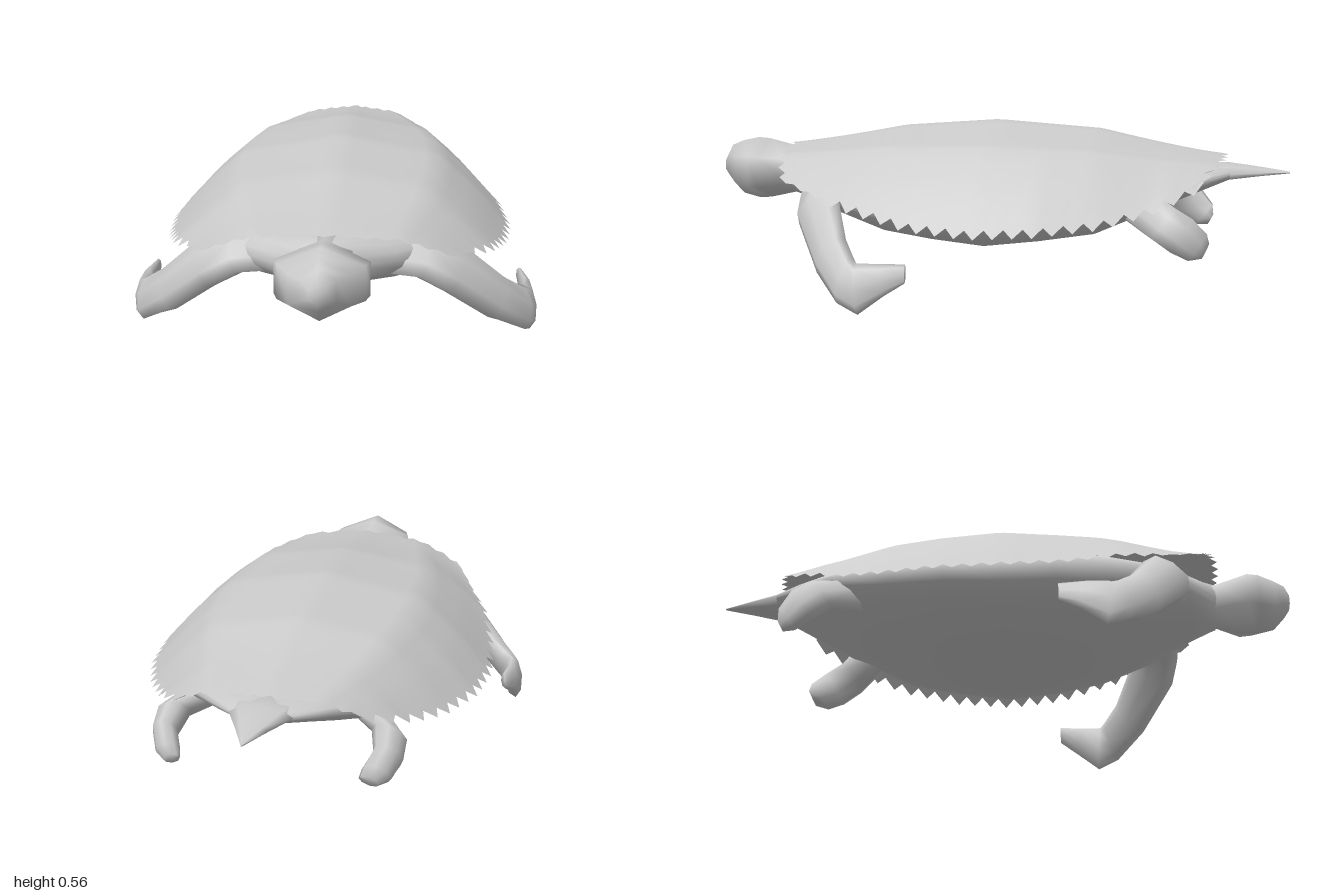
import * as THREE from 'three';

const material = new THREE.MeshStandardMaterial({ color: 0xcccccc });
const shellMaterial = new THREE.MeshStandardMaterial({ color: 0xcccccc, side: THREE.DoubleSide });
const V = (x, y, z) => new THREE.Vector3(x, y, z);

// Piecewise linear lookup in [key, value] pairs with rising keys
function lookup(table, k) {
  for (let i = 1; i < table.length; i++) {
    const [k0, v0] = table[i - 1], [k1, v1] = table[i];
    if (k <= k1) return v0 + (v1 - v0) * Math.max(0, (k - k0) / (k1 - k0));
  }
  return table[table.length - 1][1];
}

// Closed ring spanned by two half axes
function ring(c, u, v, n, start = 0) {
  return Array.from({ length: n }, (_, i) => {
    const a = start + (i / n) * Math.PI * 2;
    return c.clone().addScaledVector(u, Math.cos(a)).addScaledVector(v, Math.sin(a));
  });
}

// Smooth skin over rings, capped at both ends and always facing outward
function loft(rings) {
  const n = rings[0].length, pts = rings.flat(), idx = [];
  for (let i = 0; i < rings.length - 1; i++) {
    for (let j = 0; j < n; j++) {
      const a = i * n + j, b = i * n + (j + 1) % n;
      idx.push(a, b, b + n, a, b + n, a + n);
    }
  }
  [rings[0], rings[rings.length - 1]].forEach((r, end) => {
    const base = end ? (rings.length - 1) * n : 0, c = pts.length;
    pts.push(r.reduce((s, p) => s.add(p), V(0, 0, 0)).divideScalar(n));
    for (let j = 0; j < n; j++) {
      const a = base + j, b = base + (j + 1) % n;
      idx.push(...(end ? [c, a, b] : [c, b, a]));
    }
  });
  let volume = 0;
  for (let i = 0; i < idx.length; i += 3) {
    volume += pts[idx[i]].dot(pts[idx[i + 1]].clone().cross(pts[idx[i + 2]]));
  }
  if (volume < 0) idx.reverse();
  return finish(pts, idx);
}

function finish(pts, idx) {
  const g = new THREE.BufferGeometry().setFromPoints(pts);
  g.setIndex(idx);
  g.computeVertexNormals();
  return g;
}

// Stations [z, half width, bottom, top] along the body axis
function axial(stations, n, start) {
  return loft(stations.map(([z, w, y0, y1]) =>
    ring(V(0, (y0 + y1) / 2, z), V(w, 0, 0), V(0, (y1 - y0) / 2, 0), n, start)));
}

// Domed open shell with a saw-toothed rim
function carapace() {
  const ridge = [[-0.75, 0.45], [-0.36, 0.54], [0, 0.565], [0.33, 0.54], [0.7, 0.465]];
  const rim = [[-0.72, 0.385], [-0.55, 0.315], [-0.4, 0.28], [-0.2, 0.262], [0, 0.255],
    [0.2, 0.27], [0.4, 0.315], [0.55, 0.35], [0.68, 0.39]];
  const width = [[-0.72, 0.28], [-0.6, 0.38], [-0.4, 0.49], [-0.2, 0.56], [0, 0.585],
    [0.2, 0.565], [0.4, 0.515], [0.6, 0.415], [0.68, 0.37]];
  const drop = [[0, 0], [0.58, 0.2], [0.8, 0.57], [1, 1]];
  const rows = 46, cols = 24, pts = [], idx = [];
  for (let i = 0; i <= rows; i++) {
    const z0 = -0.72 + 1.4 * i / rows, t = i / rows * 2 - 1;
    const tooth = (i % 2 ? 1 : -1) * (z0 > 0.5 ? 0.004 : 0.013);
    for (let j = 0; j <= cols; j++) {
      const f = j / cols * 2 - 1, a = Math.abs(f), edge = j === 0 || j === cols;
      const w = lookup(width, z0) + (edge ? tooth : 0);
      const bulge = Math.sign(t) * Math.abs(t) ** 6 * 0.075 * (1 - f * f);
      const nick = (i === 0 || i === rows) && j % 2 ? -Math.sign(t) * 0.022 : 0;
      const top = lookup(ridge, z0), low = lookup(rim, z0);
      const y = top - (top - low) * lookup(drop, a) - (edge ? tooth : 0);
      pts.push(V(f * w, y, z0 + bulge + nick));
      if (i < rows && j < cols) {
        const p = i * (cols + 1) + j, q = p + cols + 1;
        idx.push(p, q, q + 1, p, q + 1, p + 1);
      }
    }
  }
  return finish(pts, idx);
}

// Limb stations [centre, wide half axis, thin half axis], mirrored by side
function limb(stations, side) {
  return loft(stations.map((s) => {
    const [c, u, v] = s.map(([x, y, z]) => V(x * side, y, z));
    return ring(c, u, v, 8);
  }));
}

export function createModel() {
  const group = new THREE.Group();
  const add = (name, geometry, mat = material) => {
    const mesh = new THREE.Mesh(geometry, mat);
    mesh.name = name;
    group.add(mesh);
  };

  add('carapace', carapace(), shellMaterial);

  // Rounded underside tapering to the neck and the tail root
  add('body', axial([
    [-0.8, 0.1, 0.375, 0.425], [-0.7, 0.2, 0.335, 0.43], [-0.58, 0.31, 0.285, 0.43],
    [-0.36, 0.44, 0.19, 0.44], [-0.18, 0.49, 0.162, 0.45], [0, 0.51, 0.14, 0.45],
    [0.18, 0.49, 0.158, 0.45], [0.35, 0.44, 0.18, 0.45], [0.52, 0.35, 0.235, 0.44],
    [0.64, 0.22, 0.272, 0.44], [0.74, 0.08, 0.29, 0.45],
  ], 20, Math.PI / 2));

  // Faceted head running back into the neck
  add('head', axial([
    [0.6, 0.11, 0.28, 0.45], [0.74, 0.095, 0.29, 0.458], [0.84, 0.165, 0.268, 0.482],
    [0.88, 0.15, 0.265, 0.485], [0.94, 0.105, 0.28, 0.472], [0.98, 0.06, 0.325, 0.455],
    [1, 0.03, 0.355, 0.415],
  ], 6, Math.PI / 2));

  add('tail', axial([
    [-1, 0.003, 0.397, 0.403], [-0.9, 0.05, 0.385, 0.418],
    [-0.8, 0.1, 0.372, 0.43], [-0.7, 0.13, 0.36, 0.43],
  ], 8));

  const front = [
    [[0.12, 0.36, 0.53], [0, 0.05, -0.09], [0.02, 0.05, 0.03]],
    [[0.28, 0.35, 0.545], [-0.01, 0.055, -0.08], [0.03, 0.04, 0.03]],
    [[0.39, 0.295, 0.54], [0.01, 0.055, -0.07], [0.035, 0.035, 0.025]],
    [[0.53, 0.165, 0.455], [0, 0.055, -0.05], [0.035, 0.03, 0.015]],
    [[0.615, 0.105, 0.385], [-0.015, 0.07, -0.025], [0.035, 0.015, 0.01]],
    [[0.64, 0.085, 0.34], [-0.012, 0.08, 0.004], [0.03, 0.01, 0.005]],
    [[0.638, 0.115, 0.265], [-0.008, 0.05, 0.01], [0.022, 0.004, 0]],
    [[0.621, 0.135, 0.19], [-0.003, 0.03, 0], [0.012, 0, 0]],
  ];
  const rear = [
    [[0.25, 0.32, -0.5], [0.02, 0.05, -0.05], [0.05, 0, 0.02]],
    [[0.35, 0.275, -0.59], [0.005, 0.05, -0.04], [0.055, -0.015, 0.005]],
    [[0.36, 0.235, -0.655], [0, 0.055, -0.035], [0.045, -0.015, 0.01]],
    [[0.335, 0.195, -0.705], [0, 0.04, -0.03], [0.045, -0.015, 0.01]],
    [[0.315, 0.18, -0.73], [0, 0.02, -0.01], [0.03, -0.01, 0.005]],
  ];
  for (const [label, side] of [['left', 1], ['right', -1]]) {
    add(label + 'FrontFlipper', limb(front, side));
    add(label + 'RearFlipper', limb(rear, side));
  }
  return group;
}
